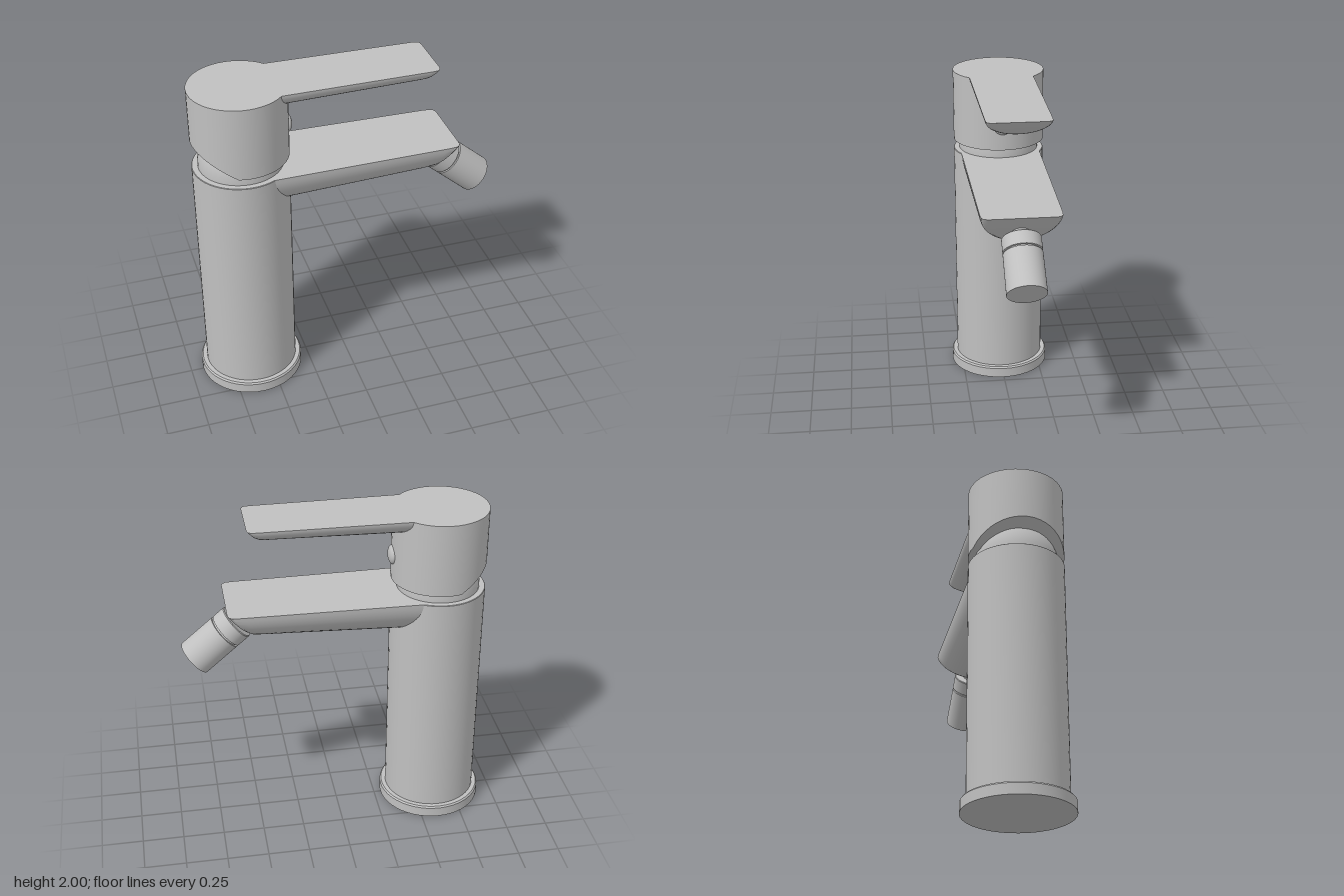
import * as THREE from 'three';
import { toCreasedNormals } from 'three/addons/utils/BufferGeometryUtils.js';

const AXIS = -0.608; // x of the vertical column
const SEG = 48;
const metal = new THREE.MeshStandardMaterial({ color: 0xc0c0c0 });
metal.name = 'satin metal';

function part(name, geometry, parent) {
  const mesh = new THREE.Mesh(toCreasedNormals(geometry, 0.6), metal);
  mesh.name = name;
  parent.add(mesh);
  return mesh;
}

// Turned solid from [radius, height] pairs, bottom to top
function turned(points) {
  return new THREE.LatheGeometry(points.map(([r, y]) => new THREE.Vector2(r, y)), SEG);
}

function fromTriangles(triangles) {
  const geometry = new THREE.BufferGeometry();
  geometry.setFromPoints(triangles.flat());
  return geometry;
}

// Flat-topped arm with a half-ellipse underside and a slanted tip.
// Each section is [x at top, half width, depth, backward slant]
function armGeometry(top, sections) {
  const n = 28;
  const rings = sections.map(([x, w, d, slant]) =>
    Array.from({ length: n + 1 }, (_, j) => {
      const a = (Math.PI * j) / n;
      const depth = d * Math.sin(a);
      return new THREE.Vector3(x - slant * depth, top - depth, w * Math.cos(a));
    }));
  const tris = [];
  for (let i = 0; i < rings.length - 1; i++) {
    const p = rings[i], q = rings[i + 1];
    for (let j = 0; j <= n; j++) {
      const k = (j + 1) % (n + 1);
      tris.push([p[j], p[k], q[j]], [p[k], q[k], q[j]]);
    }
  }
  const first = rings[0], last = rings[rings.length - 1];
  for (let j = 1; j < n; j++) {
    tris.push([last[0], last[j], last[j + 1]], [first[0], first[j + 1], first[j]]);
  }
  return fromTriangles(tris);
}

// Cylindrical head whose underside slopes up toward the rear
function headGeometry(r, low, high) {
  const lower = [], upper = [], tris = [];
  for (let i = 0; i < SEG; i++) {
    const a = (i / SEG) * Math.PI * 2;
    const c = r * Math.cos(a), z = r * Math.sin(a);
    const y = low + Math.max(0, -0.0725 - c) * 0.58;
    lower.push(new THREE.Vector3(AXIS + c, y, z));
    upper.push(new THREE.Vector3(AXIS + c, high, z));
  }
  const centre = new THREE.Vector3(AXIS, high, 0);
  for (let i = 0; i < SEG; i++) {
    const k = (i + 1) % SEG;
    tris.push([lower[i], upper[i], lower[k]], [upper[i], upper[k], lower[k]]);
    tris.push([centre, upper[k], upper[i]]);
  }
  // underside in strips across z, so the fold stays straight
  for (let i = 0; i < SEG / 2; i++) {
    const p = lower[i], pn = lower[i + 1];
    const q = lower[(SEG - i) % SEG], qn = lower[SEG - i - 1];
    tris.push([p, pn, qn], [p, qn, q]);
  }
  return fromTriangles(tris);
}

export function createModel() {
  const model = new THREE.Group();
  model.name = 'mixerTap';

  // Column
  const column = new THREE.Group();
  column.name = 'column';
  column.position.x = AXIS;
  model.add(column);
  part('baseFlange', turned([[0, 0], [0.315, 0], [0.315, 0.062], [0.307, 0.072], [0, 0.072]]), column);
  part('body', turned([[0.281, 0.06], [0.281, 1.497], [0.278, 1.5], [0, 1.5]]), column);
  part('neckDome', turned([[0.245, 1.49], [0.245, 1.54], [0.236, 1.58], [0.218, 1.635],
    [0.18, 1.69], [0.1, 1.73], [0, 1.74]]), column);

  // Spout
  part('spout', armGeometry(1.5, [
    [-0.5, 0.245, 0.246, 0], [0.58, 0.229, 0.207, 0.75], [0.63, 0.225, 0.203, 0.75],
    [0.648, 0.212, 0.192, 0.75], [0.656, 0.19, 0.175, 0.75],
  ]), model);

  // Swivel nozzle, tilted down from the spout tip
  const nozzle = new THREE.Group();
  nozzle.name = 'nozzle';
  nozzle.position.set(0.5045, 1.4275, 0);
  nozzle.rotation.z = -2.277;
  model.add(nozzle);
  part('nozzleStem', turned([[0, 0], [0.055, 0], [0.055, 0.13]]), nozzle);
  part('nozzleCollar', turned([[0, 0.11], [0.108, 0.11], [0.112, 0.115], [0.112, 0.195],
    [0.102, 0.197], [0.102, 0.21]]), nozzle);
  part('nozzleBarrel', turned([[0, 0.207], [0.112, 0.207], [0.113, 0.45], [0, 0.45]]), nozzle);

  // Control head and lever
  part('handleHead', headGeometry(0.281, 1.56, 2), model);
  part('lever', armGeometry(2, [
    [-0.5, 0.195, 0.12, 0], [0.47, 0.185, 0.1, 0.8], [0.503, 0.182, 0.098, 0.8],
    [0.518, 0.172, 0.09, 0.8], [0.525, 0.155, 0.078, 0.8],
  ]), model);
  const button = part('indicatorButton', new THREE.SphereGeometry(0.058, 24, 16), model);
  button.scale.x = 0.5;
  button.position.set(-0.332, 1.715, 0);

  return model;
}
